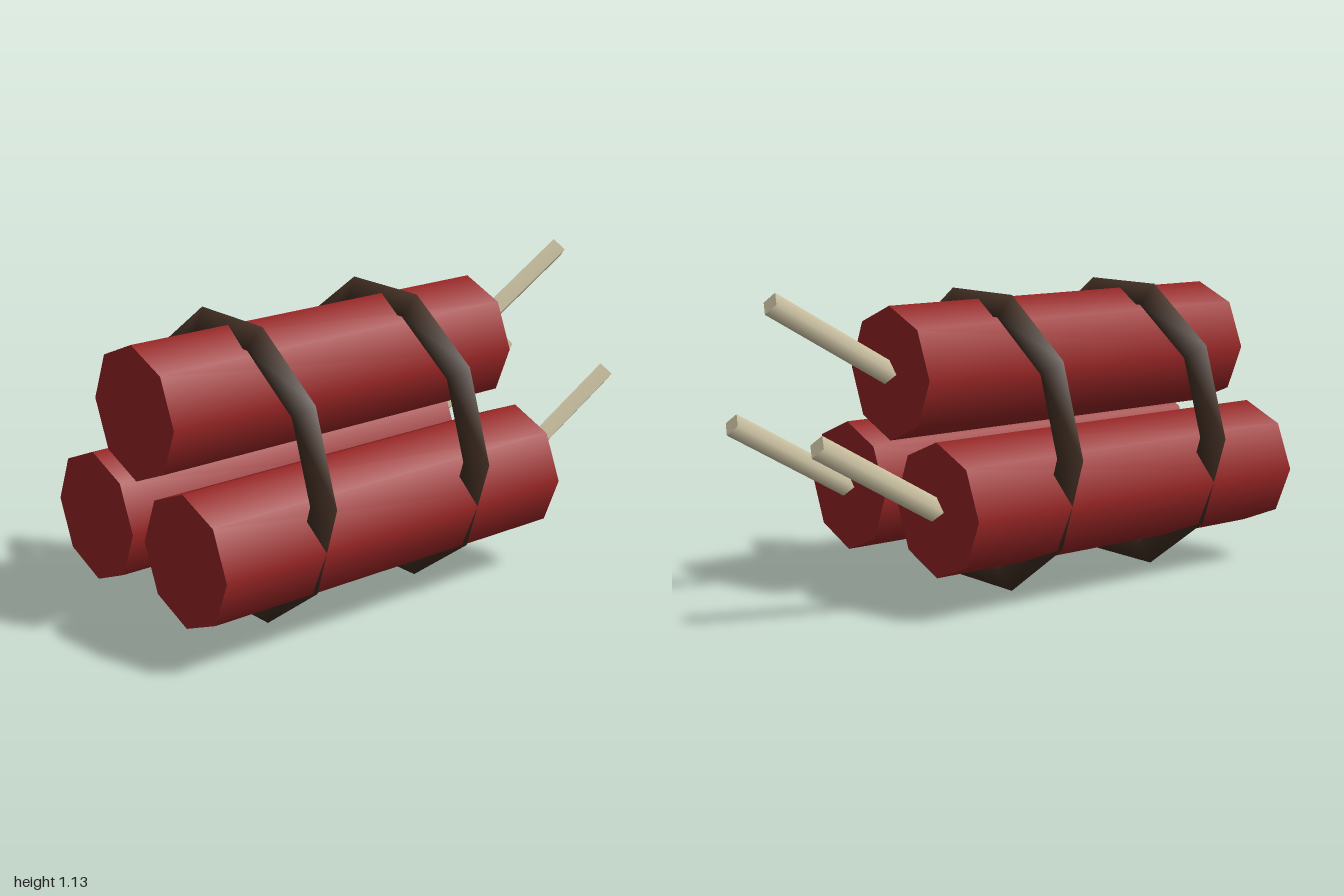
import * as THREE from 'three';

function material(name, color) {
  const m = new THREE.MeshStandardMaterial({ color });
  m.name = name;
  return m;
}

export function createModel() {
  const group = new THREE.Group();
  group.name = 'stickBundle';

  const red = material('red paper', 0x992525);
  const cord = material('dark brown cord', 0x402d22);
  const cream = material('cream fuse', 0xd2c8a8);

  const add = (name, geometry, mat, x, y, z) => {
    const mesh = new THREE.Mesh(geometry, mat);
    mesh.name = name;
    mesh.position.set(x, y, z);
    group.add(mesh);
  };

  // Eight-sided stick lying along x
  const stick = new THREE.CylinderGeometry(0.238, 0.238, 1.5, 8).rotateZ(-Math.PI / 2);

  // Four-sided fuse, starting at its origin and rising 30 degrees towards +x
  const fuse = new THREE.CylinderGeometry(0.041, 0.041, 0.552, 4)
    .translate(0, 0.276, 0)
    .rotateZ(-Math.PI / 3);

  // Ten-sided binding ring with a triangular section, around the x axis
  const ring = new THREE.TorusGeometry(0.512, 0.055, 3, 10).rotateY(Math.PI / 2);

  // Three sticks in a pyramid, each with a fuse
  const places = [['top', 0.815, 0], ['front', 0.371, 0.274], ['back', 0.371, -0.274]];
  for (const [side, y, z] of places) {
    add(side + 'Stick', stick, red, -0.25, y, z);
    add(side + 'Fuse', fuse, cream, 0.5, y, z);
  }

  // Two bindings around the bundle
  add('rightBinding', ring, cord, -0.592, 0.54, 0);
  add('leftBinding', ring, cord, 0.092, 0.54, 0);

  return group;
}
